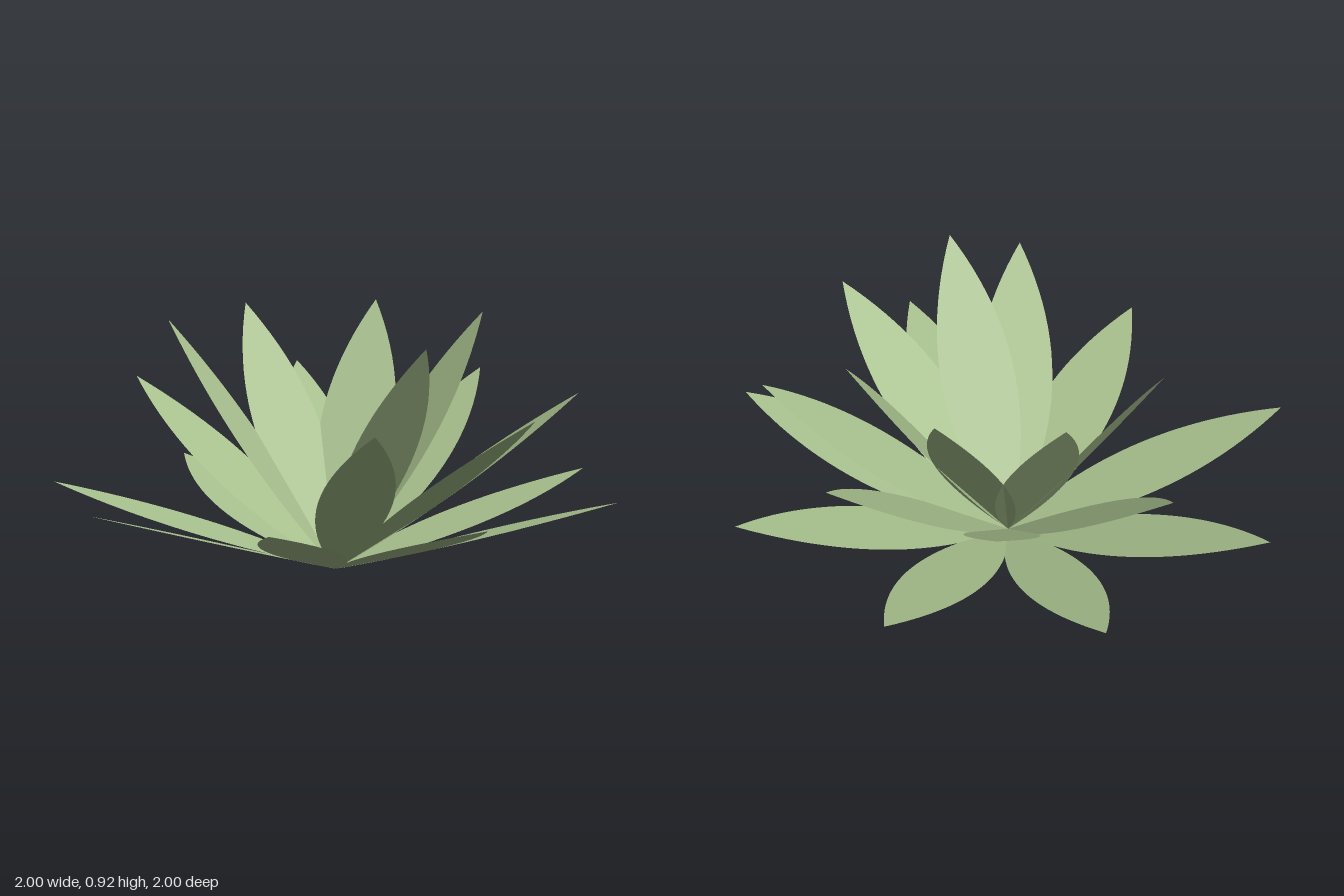
import * as THREE from 'three';

const LENGTH = 1.12;
const BULGE = 0.286; // control point offset; half width peaks at half of this

// Flat pointed leaf running from the origin along +y
function leafGeometry() {
  const s = new THREE.Shape();
  s.moveTo(0, 0);
  s.quadraticCurveTo(BULGE, LENGTH / 2, 0, LENGTH);
  s.quadraticCurveTo(-BULGE, LENGTH / 2, 0, 0);
  return new THREE.ShapeGeometry(s, 24);
}

export function createModel() {
  const model = new THREE.Group();
  model.name = 'succulentRosette';
  const material = new THREE.MeshStandardMaterial({ color: 0xa6be8c, side: THREE.DoubleSide });
  const rad = THREE.MathUtils.degToRad;

  // Rings of leaves: elevation above the ground and headings measured from +z towards +x
  const rings = [
    { name: 'outer', elevation: 15, headings: [22.5, 67.5, 112.5, 157.5, 202.5, 247.5, 292.5, 337.5] },
    { name: 'middle', elevation: 35, headings: [0, 45, 90, 135, 180, 315] },
    { name: 'inner', elevation: 55, headings: [67.5, 112.5, 157.5, 202.5, 337.5] },
  ];

  for (const { name, elevation, headings } of rings) {
    const ring = new THREE.Group();
    ring.name = name + 'Leaves';
    const geometry = leafGeometry().rotateX(rad(90 - elevation));
    headings.forEach((heading, i) => {
      const leaf = new THREE.Mesh(geometry, material);
      leaf.name = `${name}Leaf${i + 1}`;
      leaf.rotation.y = rad(heading);
      ring.add(leaf);
    });
    model.add(ring);
  }
  return model;
}
